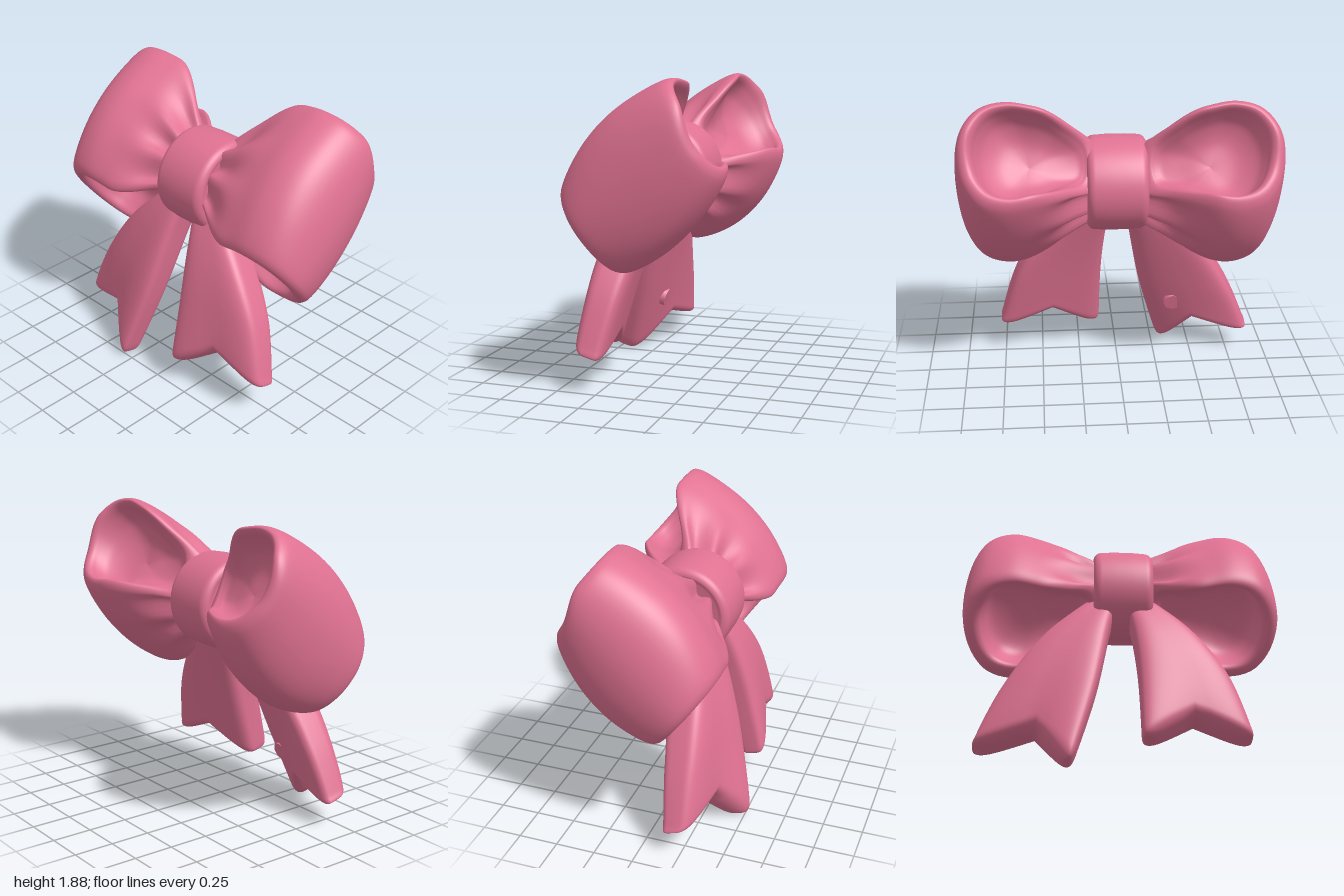
import * as THREE from 'three';

const V2 = (p) => new THREE.Vector2(p[0], p[1]);
const { smoothstep: smooth, lerp } = THREE.MathUtils;

// Skin a list of closed rings into one smooth surface.
function loft(rings, flip) {
  const n = rings[0].length, pos = [], idx = [];
  rings.forEach((r) => r.forEach((p) => pos.push(...p)));
  for (let j = 0; j < rings.length - 1; j++) {
    for (let i = 0; i < n; i++) {
      const a = j * n + i, b = j * n + (i + 1) % n, c = b + n, d = a + n;
      if (flip) idx.push(a, c, b, a, d, c);
      else idx.push(a, b, c, a, c, d);
    }
  }
  const g = new THREE.BufferGeometry();
  g.setAttribute('position', new THREE.Float32BufferAttribute(pos, 3));
  g.setIndex(idx);
  g.computeVertexNormals();
  return g;
}

// Ribbon loop: a thick teardrop band, tilted back, with a shallow hollow at both open ends.
function loopGeometry(side, cy, backBulge) {
  const half = [[0.1, -0.14], [0.3, -0.24], [0.5, -0.3], [0.7, -0.335], [0.86, -0.29], [0.96, -0.17]];
  const outline = [...half, [1, 0], ...half.map(([x, n]) => [x, -n]).reverse()];
  const teardrop = new THREE.CatmullRomCurve3(
    outline.map(([x, n]) => new THREE.Vector3(x, n, 0)), true, 'centripetal').getPoints(96).slice(0, -1);
  // [scale towards the middle, position across the ribbon]
  const across = new THREE.SplineCurve([
    [0, -0.4], [0.35, -0.43], [0.6, -0.56], [0.71, -0.8], [0.77, -0.95], [0.86, -1], [0.95, -0.96],
    [0.99, -0.83], [1, -0.45], [1, 0], [1, 0.45], [0.99, 0.83], [0.95, 0.96], [0.87, 1], [0.79, 0.96],
    [0.72, 0.85], [0.6, 0.7], [0.35, 0.55], [0, 0.48],
  ].map(V2)).getPoints(90);
  const rings = across.map(({ x: s, y: v }) => teardrop.map((p) => {
    const x = 0.55 + (p.x - 0.55) * s * (1 - 0.05 * v * v);
    const front = smooth(p.y * s, -0.15, 0.15);
    const open = smooth(x, 0.06, 0.6);
    // the front sheet is wider at the top and fans out sooner
    const spread = lerp(open, smooth(x, 0.04, 0.52), front);
    const w = v * (0.17 + 0.265 * spread) * (1 + 0.17 * front * Math.max(0, v) ** 2);
    // pleats gathered beside the knot
    const pleat = 0.28 * Math.exp(-(((x - 0.2) / 0.18) ** 2)) * Math.cos(4.5 * v) ** 2;
    const swell = 1 - v * v;
    const n = p.y * s * lerp(1 + backBulge * swell, 0.88 + 0.31 * swell, front) * (1 - pleat);
    return [side * x, cy + 0.8 * n + 0.71 * w, 0.03 - 0.06 * open + 0.6 * n - 0.71 * w];
  }));
  return loft(rings, side > 0);
}

// Ribbon tail: thick rounded strip between an inner and outer edge, ending in a notch.
function tailGeometry(side, inner, mid, outer, recede) {
  const [ci, cm, co] = [inner, mid, outer].map((e) => new THREE.SplineCurve(e.map(V2)));
  const rings = [], rows = 56, cols = 64;
  const soft = (a, power) => Math.sign(a) * Math.abs(a) ** power;
  for (let j = 0; j <= rows; j++) {
    const t = 1 - (1 - j / rows) ** 1.8;
    const end = Math.max(0, t - 0.9) / 0.1;
    const cap = Math.sqrt(1 - end ** 2.5);
    const belly = Math.sin(Math.PI * t);
    const pi = ci.getPoint(t), pm = cm.getPoint(t), po = co.getPoint(t);
    const ring = [];
    for (let k = 0; k < cols; k++) {
      const a = k / cols * Math.PI * 2, s = soft(Math.cos(a), 0.6);
      const p = pm.clone().lerp(s < 0 ? pi : po, Math.abs(s) * (1 - 0.12 * end ** 3));
      const y = p.y + 0.035 * end * Math.abs(s) ** 8;
      const z = 0.17 + 0.32 * (0.95 - y) - recede * t * (s + 1) / 2 + 0.035 * belly;
      const h = (0.1 + 0.025 * belly) * cap * soft(Math.sin(a), 0.45);
      ring.push([side * p.x, y + 0.28 * h, z + h]);
    }
    rings.push(ring);
  }
  return loft(rings, side < 0);
}

export function createModel() {
  const group = new THREE.Group();
  const pink = new THREE.MeshStandardMaterial({ color: 0xe07292 });
  pink.name = 'ribbonPink';
  const add = (name, geometry) => {
    const m = new THREE.Mesh(geometry, pink);
    m.name = name;
    group.add(m);
    return m;
  };

  add('leftLoop', loopGeometry(1, 1.32, 0.25));
  add('rightLoop', loopGeometry(-1, 1.3, 0.38));

  add('leftTail', tailGeometry(1,
    [[0.03, 1.15], [0.07, 0.95], [0.1, 0.6], [0.11, 0.13]],
    [[0.12, 1.17], [0.26, 0.95], [0.37, 0.65], [0.43, 0.34]],
    [[0.2, 1.2], [0.45, 0.95], [0.66, 0.62], [0.79, 0.19]], 0.11));
  add('rightTail', tailGeometry(-1,
    [[0.03, 1.15], [0.07, 0.98], [0.16, 0.5], [0.31, -0.04]],
    [[0.12, 1.17], [0.27, 0.95], [0.42, 0.58], [0.52, 0.25]],
    [[0.2, 1.2], [0.5, 0.9], [0.74, 0.52], [0.9, 0.14]], 0.22));

  // Small raised nub behind the right tail
  const nub = add('tailNub', new THREE.CylinderGeometry(0.06, 0.07, 0.05, 8));
  nub.position.set(-0.38, 0.37, 0.21);
  nub.rotation.x = -Math.PI / 2 - 0.3;

  // Knot: round band with softened rims
  const profile = [[0, -0.17], [0.22, -0.175]];
  for (let i = 0; i <= 8; i++) {
    const a = i / 8 * Math.PI / 2;
    profile.push([0.245 + 0.05 * Math.sin(a), -0.138 - 0.05 * Math.cos(a)]);
  }
  profile.push([0.3, -0.06]);
  const full = [...profile, ...profile.map(([r, y]) => [r, -y]).reverse()];
  const knot = add('knot', new THREE.LatheGeometry(full.map(V2), 64));
  knot.rotation.z = Math.PI / 2;
  knot.position.set(0.013, 1.3, 0.027);

  return group;
}
